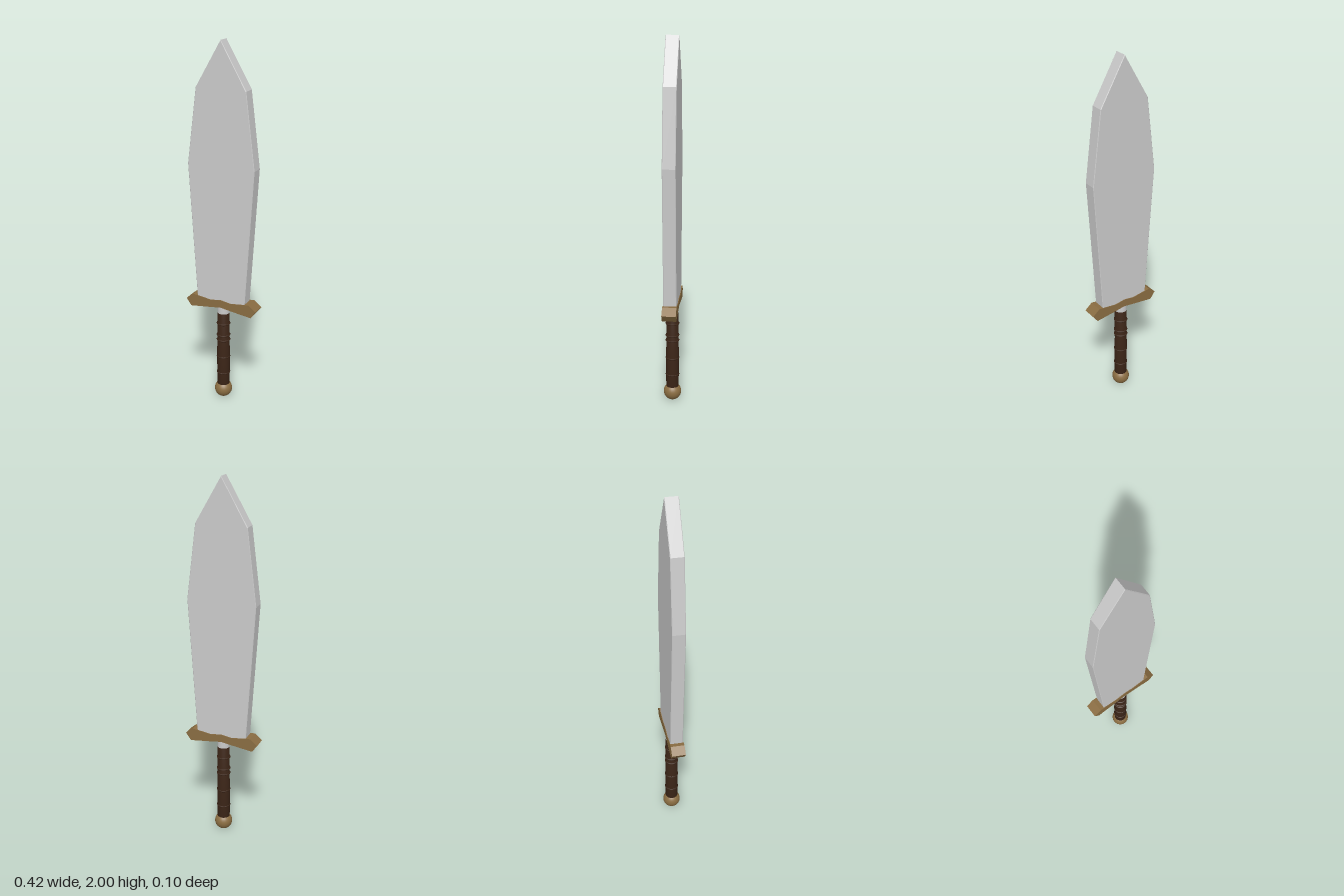
import * as THREE from 'three';

const steel = new THREE.MeshStandardMaterial({ color: 0xcccccc, flatShading: true });
const steelRound = new THREE.MeshStandardMaterial({ color: 0xcccccc });
const brass = new THREE.MeshStandardMaterial({ color: 0x8a6d42, flatShading: true });
const brassRound = new THREE.MeshStandardMaterial({ color: 0x8a6d42 });
const leather = new THREE.MeshStandardMaterial({ color: 0x3d2618 });

// Closed, mirrored outline from right-hand points running bottom to top; ends on x = 0 are not repeated
function mirroredShape(half) {
  const left = half.filter(([x]) => x > 0).reverse().map(([x, y]) => [-x, y]);
  return new THREE.Shape([...half, ...left].map(([x, y]) => new THREE.Vector2(x, y)));
}

// Plate centred on z = 0 with a fine chamfer kept inside the outline
function plate(half, depth, bevel) {
  const geometry = new THREE.ExtrudeGeometry(mirroredShape(half), {
    depth: depth - 2 * bevel, bevelEnabled: bevel > 0, bevelThickness: bevel,
    bevelSize: bevel, bevelOffset: -bevel, bevelSegments: 1,
  });
  return geometry.translate(0, 0, -depth / 2 + bevel);
}

export function createModel() {
  const sword = new THREE.Group();
  sword.name = 'sword';
  const add = (name, geometry, material, y = 0) => {
    const mesh = new THREE.Mesh(geometry, material);
    mesh.name = name;
    mesh.position.y = y;
    sword.add(mesh);
    return mesh;
  };

  // Broad leaf-shaped blade
  add('blade', plate([[0.14, 0.58], [0.19, 1.36], [0.14, 1.76], [0, 2]], 0.07, 0.003), steel);

  // Crossguard with flared, pointed ends
  add('crossguard', plate([
    [0, 0.568], [0.07, 0.558], [0.18, 0.544], [0.209, 0.583], [0.168, 0.617],
    [0.128, 0.612], [0.06, 0.603], [0, 0.612],
  ], 0.076, 0), brass);

  // Collar between guard and grip
  add('collar', new THREE.CylinderGeometry(0.033, 0.033, 0.07, 24), steelRound, 0.55);

  // Grip, slightly fuller in its lower half
  const gripProfile = [[0, 0.08], [0.035, 0.08], [0.036, 0.31], [0.0335, 0.32], [0.0335, 0.525], [0, 0.525]];
  add('grip', new THREE.LatheGeometry(gripProfile.map(([x, y]) => new THREE.Vector2(x, y)), 24), leather);

  // Raised bands around the grip
  for (const y of [0.155, 0.255, 0.36, 0.39, 0.46]) {
    const band = add('gripBand', new THREE.TorusGeometry(0.0335, 0.005, 6, 24), leather, y);
    band.rotation.x = Math.PI / 2;
  }

  // Ball pommel
  add('pommel', new THREE.SphereGeometry(0.049, 24, 16), brassRound, 0.049);

  return sword;
}
